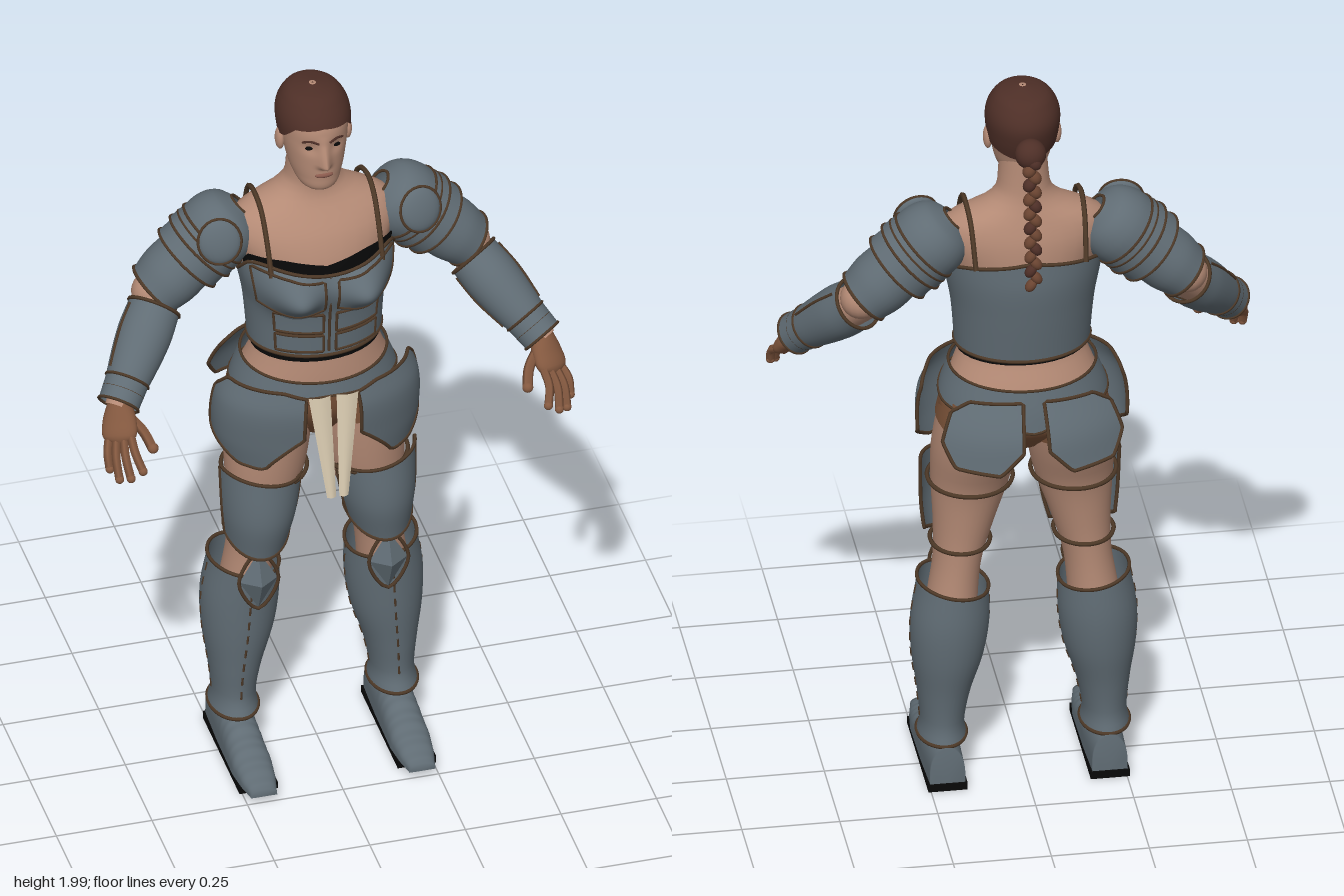
import * as THREE from 'three';

const mat = (name, color, side = THREE.FrontSide) => {
  const m = new THREE.MeshStandardMaterial({ color, side });
  m.name = name;
  return m;
};
const V = (x, y, z) => new THREE.Vector3(x, y, z);
const RAD = Math.PI / 180;
const fn = (f) => (typeof f === 'function' ? f : () => f);
const gauss = (d, s) => Math.exp(-(d * d) / (2 * s * s));

// Piecewise linear function through [x, y] pairs
const lerpPts = (...p) => (x) => {
  let i = 0;
  while (i < p.length - 2 && x > p[i + 1][0]) i++;
  const t = THREE.MathUtils.clamp((x - p[i][0]) / (p[i + 1][0] - p[i][0]), 0, 1);
  return p[i][1] + (p[i + 1][1] - p[i][1]) * t;
};

// Smooth body profile: rows [y, centreX, halfWidth, frontZ, backZ], y rising
function profile(rows) {
  const slope = (i, k) => {
    const a = rows[Math.max(0, i - 1)], b = rows[Math.min(rows.length - 1, i + 1)];
    return (b[k] - a[k]) / (b[0] - a[0]);
  };
  const at = (y, k) => {
    let i = 0;
    while (i < rows.length - 2 && y > rows[i + 1][0]) i++;
    const h = rows[i + 1][0] - rows[i][0], t = THREE.MathUtils.clamp((y - rows[i][0]) / h, 0, 1);
    const t2 = t * t, t3 = t2 * t;
    return rows[i][k] * (2 * t3 - 3 * t2 + 1) + slope(i, k) * h * (t3 - 2 * t2 + t)
      + rows[i + 1][k] * (3 * t2 - 2 * t3) + slope(i + 1, k) * h * (t3 - t2);
  };
  const point = (deg, y, off = 0) => {
    const a = deg * RAD, f = at(y, 3), b = at(y, 4);
    return V(at(y, 1) + (at(y, 2) + off) * Math.sin(a), y, (f + b) / 2 + ((f - b) / 2 + off) * Math.cos(a));
  };
  return { lo: rows[0][0], hi: rows[rows.length - 1][0], point };
}
// Round limb profile from [y, radius, depthRadius] rows
const round = (...r) => profile(r.map(([y, a, b = a]) => [y, 0, a, b, -b]));

// Parametric grid; wrap joins the ends in u
function grid(f, nu, nv, wrap = false) {
  const pos = [], idx = [], w = wrap ? nu : nu + 1;
  for (let j = 0; j <= nv; j++) for (let i = 0; i < w; i++) pos.push(...f(i / nu, j / nv).toArray());
  for (let j = 0; j < nv; j++) for (let i = 0; i < nu; i++) {
    const a = j * w + i, b = j * w + (i + 1) % w;
    idx.push(a, b, a + w, b, b + w, a + w);
  }
  const g = new THREE.BufferGeometry();
  g.setAttribute('position', new THREE.Float32BufferAttribute(pos, 3));
  g.setIndex(idx);
  g.computeVertexNormals();
  return g;
}

export function createModel() {
  const skin = mat('skin', 0xb48a75), glove = mat('brownHand', 0x83583f);
  const armour = mat('steel', 0x606c74, THREE.DoubleSide), leather = mat('leather', 0x4f3a28);
  const hair = mat('hair', 0x4e2f27, THREE.DoubleSide), braidMat = mat('braid', 0x6a4431);
  const brief = mat('briefs', 0x7a5238, THREE.DoubleSide), cloth = mat('cloth', 0xd6c8ae, THREE.DoubleSide);
  const black = mat('black', 0x080808, THREE.DoubleSide), lip = mat('lips', 0x8a5a4d);

  const model = new THREE.Group();
  model.name = 'armouredFighter';
  const add = (parent, name, geo, m) => {
    const mesh = new THREE.Mesh(geo, m);
    mesh.name = name;
    parent.add(mesh);
    return mesh;
  };
  const tube = (parent, name, pts, r, m, closed = false, n = 24) =>
    add(parent, name, new THREE.TubeGeometry(new THREE.CatmullRomCurve3(pts, closed), n, r, 5, closed), m);
  const ball = (parent, name, p, s, m) => {
    const mesh = add(parent, name, new THREE.SphereGeometry(1, 20, 14), m);
    mesh.position.set(...p);
    mesh.scale.set(...s);
    return mesh;
  };
  // Curved plate on a profile between two angles and two edge heights, with optional edge trim
  function plate(parent, name, prof, m, o = {}) {
    const { a = null, off = 0, bump = (p) => p, trim = 0, nu = 32, nv = 16 } = o;
    const lo = fn(o.lo ?? prof.lo), hi = fn(o.hi ?? prof.hi), [a0, a1] = a || [-180, 180];
    const at = (u, v, e = 0) => {
      const d = a0 + (a1 - a0) * u;
      return bump(prof.point(d, lo(d) + (hi(d) - lo(d)) * v, off + e));
    };
    add(parent, name, grid(at, nu, nv, !a), m);
    if (!trim) return;
    const edge = (f, n = 16) => Array.from({ length: n }, (_, i) => f(i / n));
    const loops = a
      ? [[...edge((t) => at(t, 0)), ...edge((t) => at(1, t)), ...edge((t) => at(1 - t, 1)), ...edge((t) => at(0, 1 - t))]]
      : [edge((t) => at(t, 0), 28), edge((t) => at(t, 1), 28)];
    loops.forEach((l) => tube(parent, name + 'Trim', l, trim, leather, true, 64));
  }
  // Group whose y axis runs from A towards B
  function axis(parent, name, A, B) {
    const g = new THREE.Group();
    g.name = name;
    g.position.copy(A);
    g.quaternion.setFromUnitVectors(V(0, 1, 0), B.clone().sub(A).normalize());
    parent.add(g);
    return g;
  }

  // Torso and neck
  const torso = profile([[0.96, 0, 0.05, 0.03, -0.09], [1.05, 0, 0.195, 0.09, -0.18], [1.12, 0, 0.205, 0.105, -0.18],
    [1.18, 0, 0.18, 0.105, -0.16], [1.25, 0, 0.157, 0.1, -0.135], [1.38, 0, 0.168, 0.1, -0.15], [1.5, 0, 0.19, 0.1, -0.16],
    [1.58, 0, 0.215, 0.075, -0.155], [1.635, 0, 0.19, 0.04, -0.14], [1.665, 0, 0.12, 0.02, -0.13],
    [1.7, 0, 0.075, 0.012, -0.12], [1.75, 0, 0.064, 0.018, -0.115], [1.83, 0, 0.06, 0.03, -0.11]]);
  plate(model, 'torso', torso, skin, { nv: 48 });
  plate(model, 'briefs', torso, brief, { hi: 1.13, off: 0.006 });

  // Head with a nose ridge and eye hollows
  const headP = profile([[1.722, 0, 0.02, 0.045, -0.01], [1.735, 0, 0.046, 0.068, -0.04], [1.77, 0, 0.065, 0.074, -0.09],
    [1.82, 0, 0.077, 0.076, -0.115], [1.87, 0, 0.085, 0.076, -0.135], [1.92, 0, 0.087, 0.07, -0.143],
    [1.96, 0, 0.073, 0.045, -0.125], [1.985, 0, 0.046, 0.012, -0.095], [1.994, 0, 0.002, -0.035, -0.04]]);
  const noseH = lerpPts([1.8, 0], [1.815, 0.028], [1.875, 0.004], [1.9, 0]);
  plate(model, 'head', headP, skin, { nu: 96, nv: 56, bump: (p) => {
    if (p.z > 0) p.z += noseH(p.y) * gauss(p.x, 0.01) - 0.007 * gauss(Math.abs(p.x) - 0.033, 0.014) * gauss(p.y - 1.863, 0.012);
    return p;
  } });
  const hairline = (d) => lerpPts([0, 1.925], [45, 1.915], [68, 1.88], [88, 1.865], [105, 1.84], [180, 1.815])(Math.abs(d));
  plate(model, 'hairCap', headP, hair, { lo: hairline, off: 0.007, nu: 64, nv: 24 });
  ball(model, 'mouth', [0, 1.782, 0.071], [0.024, 0.008, 0.008], lip);
  for (const s of [-1, 1]) {
    ball(model, 'eye', [s * 0.033, 1.863, 0.059], [0.013, 0.006, 0.006], black);
    ball(model, 'ear', [s * 0.088, 1.845, -0.03], [0.012, 0.032, 0.02], skin);
    tube(model, 'eyebrow', [V(s * 0.014, 1.882, 0.077), V(s * 0.034, 1.889, 0.07), V(s * 0.053, 1.882, 0.056)], 0.003, hair);
  }

  // Bun and plaited tail
  ball(model, 'hairBun', [0, 1.865, -0.165], [0.04, 0.04, 0.038], hair);
  for (let i = 0; i < 18; i++) {
    const t = i / 17, s = i % 2 ? 1 : -1;
    const knot = ball(model, 'braidKnot', [s * 0.007, 1.85 - 0.34 * t, -0.188 - 0.028 * t],
      [0.017 - 0.004 * t, 0.019, 0.018 - 0.003 * t], i % 3 ? braidMat : hair);
    knot.rotation.z = s * 0.6;
  }

  // Cuirass with shaped breast plates and belly panels
  const cuirass = profile([[1.25, 0, 0.172, 0.115, -0.165], [1.38, 0, 0.183, 0.122, -0.182],
    [1.47, 0, 0.2, 0.135, -0.19], [1.55, 0, 0.21, 0.115, -0.185]]);
  const breast = (p) => {
    if (p.z > 0) p.z += 0.07 * gauss(Math.abs(p.x) - 0.095, 0.045) * gauss(p.y - 1.462, 0.042);
    return p;
  };
  const neckline = (d) => lerpPts([0, 1.51], [30, 1.53], [60, 1.535], [90, 1.47], [120, 1.52], [180, 1.55])(Math.abs(d));
  plate(model, 'cuirass', cuirass, armour, { lo: 1.255, hi: neckline, bump: breast, trim: 0.005, nu: 96, nv: 32 });
  plate(model, 'undershirtHem', torso, black, { lo: 1.232, hi: 1.275, off: 0.006, nv: 2 });
  plate(model, 'undershirtNeck', torso, black, { a: [-75, 75], lo: 1.48, hi: (d) => neckline(d) + 0.012, off: 0.008, nv: 3 });
  tube(model, 'chestSeam', [1.27, 1.35, 1.43, 1.505].map((y) => cuirass.point(0, y, 0.002)), 0.004, leather);
  for (const s of [-1, 1]) {
    const arc = s > 0 ? [5, 45] : [-45, -5], rim = s > 0 ? [5, 62] : [-62, -5];
    plate(model, 'upperBellyPanel', cuirass, armour, { a: arc, lo: 1.335, hi: 1.392, off: 0.009, trim: 0.004, nv: 4 });
    plate(model, 'lowerBellyPanel', cuirass, armour, { a: arc, lo: 1.275, hi: 1.325, off: 0.009, trim: 0.004, nv: 4 });
    plate(model, 'breastPanel', cuirass, armour, { a: rim, lo: (d) => 1.405 + 0.0004 * Math.abs(Math.abs(d) - 30),
      hi: (d) => neckline(d) - 0.012, off: 0.005, bump: breast, trim: 0.004 });
  }

  // Belt and front cloth
  const beltP = profile([[1.07, 0, 0.225, 0.15, -0.225], [1.13, 0, 0.21, 0.15, -0.215], [1.188, 0, 0.187, 0.14, -0.2]]);
  plate(model, 'belt', beltP, armour, { trim: 0.004, nu: 64, nv: 6,
    lo: (d) => lerpPts([0, 1.15], [60, 1.135], [100, 1.11], [150, 1.105], [180, 1.075])(Math.abs(d)) });

  // Everything on the model's left, mirrored afterwards
  const left = new THREE.Group();
  left.name = 'leftSide';
  model.add(left);
  add(left, 'frontCloth', grid((u, v) => V(
    THREE.MathUtils.lerp(0.004 + 0.004 * v, 0.028 + 0.037 * v, u), 0.875 + 0.285 * v,
    0.2 - 0.04 * v + 0.006 * Math.sin(u * Math.PI)), 6, 6), cloth);
  tube(left, 'shoulderStrap', [V(0.145, 1.51, 0.1), V(0.146, 1.59, 0.062), V(0.147, 1.655, 0.01), V(0.148, 1.672, -0.05),
    V(0.145, 1.645, -0.12), V(0.14, 1.54, -0.175)], 0.007, leather);
  const hipP = profile([[0.92, 0, 0.25, 0.15, -0.18], [1, 0, 0.268, 0.158, -0.19], [1.1, 0, 0.264, 0.165, -0.18], [1.17, 0, 0.235, 0.15, -0.17]]);
  plate(left, 'hipPlate', hipP, armour, { a: [16, 96], lo: lerpPts([16, 1.03], [42, 0.925], [62, 0.93], [96, 1.0]),
    hi: lerpPts([16, 1.15], [30, 1.165], [80, 1.165], [96, 1.12]), trim: 0.005 });
  const rearP = profile([[0.99, 0, 0.33, 0.2, -0.285], [1.08, 0, 0.3, 0.19, -0.265], [1.17, 0, 0.25, 0.17, -0.215]]);
  plate(left, 'rearPlate', rearP, armour, { a: [132, 174], lo: lerpPts([132, 1.06], [142, 1.0], [164, 0.99], [174, 1.05]),
    hi: lerpPts([132, 1.13], [142, 1.16], [174, 1.165]), trim: 0.005 });

  // Leg
  const legP = profile([[0.1, 0.205, 0.04, 0, -0.09], [0.4, 0.19, 0.07, 0.03, -0.12], [0.52, 0.178, 0.064, 0.045, -0.105],
    [0.62, 0.165, 0.062, 0.05, -0.1], [0.72, 0.15, 0.076, 0.065, -0.105], [0.85, 0.132, 0.1, 0.085, -0.125],
    [0.95, 0.122, 0.11, 0.095, -0.165], [1.04, 0.112, 0.107, 0.098, -0.192], [1.12, 0.1, 0.1, 0.09, -0.18]]);
  plate(left, 'leg', legP, skin, { nv: 40 });
  plate(left, 'briefSide', legP, brief, { off: 0.005, lo: (d) => 1.02 + 0.025 * Math.sin(d * RAD), hi: 1.12 });
  const thighP = profile([[0.64, 0.163, 0.075, 0.1, -0.1], [0.75, 0.155, 0.096, 0.12, -0.11], [0.89, 0.147, 0.108, 0.108, -0.12]]);
  plate(left, 'thighPlate', thighP, armour, { a: [-80, 84], lo: (d) => 0.64 + 0.045 * (d / 84) ** 2,
    hi: (d) => 0.87 + 0.018 * Math.sin(d * RAD), trim: 0.005 });
  for (const y of [0.67, 0.85]) {
    const loop = Array.from({ length: 24 }, (_, i) => legP.point(i * 15, y, 0.008));
    tube(left, 'thighStrap', loop, 0.006, leather, true, 48);
  }
  const knee = add(left, 'kneePlate', new THREE.OctahedronGeometry(1), armour);
  knee.position.set(0.17, 0.555, 0.065);
  knee.scale.set(0.05, 0.085, 0.036);
  tube(left, 'kneeTrim', [V(0.17, 0.642, 0.067), V(0.222, 0.555, 0.067), V(0.17, 0.468, 0.067), V(0.118, 0.555, 0.067)], 0.005, leather, true);
  const greaveP = profile([[0.12, 0.208, 0.062, 0.05, -0.13], [0.16, 0.207, 0.056, 0.035, -0.12], [0.25, 0.203, 0.068, 0.04, -0.128],
    [0.36, 0.194, 0.092, 0.05, -0.148], [0.46, 0.188, 0.1, 0.055, -0.155], [0.57, 0.18, 0.09, 0.06, -0.148]]);
  plate(left, 'greave', greaveP, armour, { hi: (d) => 0.56 + 0.015 * Math.sin(d * RAD), trim: 0.005, nv: 24 });
  for (const d of [0, 90, -90]) for (let y = 0.17; y < 0.53; y += 0.045) {
    tube(left, 'greaveStitch', [greaveP.point(d, y), greaveP.point(d, y + 0.025)], 0.003, leather, false, 2);
  }

  // Layered foot armour over a flat sole
  const footH = lerpPts([-0.14, 0.1], [0, 0.1], [0.1, 0.065], [0.2, 0.035], [0.25, 0.02]);
  const footW = lerpPts([-0.14, 0.045], [-0.02, 0.05], [0.14, 0.052], [0.2, 0.045], [0.25, 0.034]);
  add(left, 'footArmour', grid((u, v) => {
    const t = THREE.MathUtils.clamp((v * 44 - 1) / 42, 0, 1), z = -0.14 + 0.393 * t, a = Math.PI * u;
    const end = v === 0 || v === 1 ? 0.01 : 1, lame = z > 0 ? 1.1 - 0.12 * ((t * 12) % 1) : 1;
    return V(0.207 + footW(z) * Math.cos(a) * end, 0.02 + footH(z) * lame * Math.sin(a) ** 0.6 * end, z);
  }, 20, 44), armour);
  add(left, 'sole', new THREE.BoxGeometry(0.1, 0.02, 0.345), black).position.set(0.207, 0.01, 0.0275);

  // Upper arm, shoulder lames and cuff
  const S = V(0.235, 1.58, -0.06), E = V(0.415, 1.415, -0.055), F = V(0.405, 1.4, -0.04), W = V(0.555, 1.215, 0.13);
  const upper = axis(left, 'upperArm', S, E);
  plate(upper, 'upperArmSkin', round([-0.05, 0.05], [0.08, 0.068], [0.25, 0.052]), skin);
  plate(upper, 'shoulderCap', round([-0.075, 0.035], [-0.055, 0.075], [-0.01, 0.098], [0.05, 0.1]), armour, { trim: 0.004 });
  plate(upper, 'shoulderLame', round([0.03, 0.101], [0.075, 0.104]), armour, { trim: 0.004, nv: 4 });
  plate(upper, 'lowerShoulderLame', round([0.065, 0.097], [0.12, 0.099]), armour, { trim: 0.004, nv: 4 });
  plate(upper, 'armCuff', round([0.115, 0.08, 0.086], [0.18, 0.082, 0.088], [0.235, 0.072, 0.08]), armour, { trim: 0.005 });
  const shield = ball(left, 'shoulderGuard', [0.262, 1.598, 0.03], [0.055, 0.06, 0.02], armour);
  shield.rotation.set(-0.3, 0.15, 0);
  tube(left, 'shoulderGuardTrim', Array.from({ length: 16 }, (_, i) => V(0.055 * Math.cos(i * Math.PI / 8),
    0.06 * Math.sin(i * Math.PI / 8), 0.004).applyEuler(shield.rotation).add(shield.position)), 0.004, leather, true);
  ball(left, 'elbow', E.toArray(), [0.053, 0.053, 0.053], skin);

  // Forearm and hand
  const fore = axis(left, 'forearm', F, W);
  plate(fore, 'forearmSkin', round([-0.03, 0.05], [0.1, 0.052], [0.3, 0.032]), skin);
  plate(fore, 'bracer', round([0.025, 0.067], [0.1, 0.07], [0.2, 0.06], [0.255, 0.05]), armour, { trim: 0.005 });
  plate(fore, 'wristCuff', round([0.225, 0.056], [0.29, 0.053]), armour, { trim: 0.004, nv: 4 });
  for (const x of [-1, 1]) tube(fore, 'bracerSeam', [V(0, 0.04, x * 0.069), V(0, 0.12, x * 0.07), V(0, 0.21, x * 0.059)], 0.004, leather);
  const hand = axis(left, 'hand', V(0.55, 1.222, 0.125), V(0.572, 1.13, 0.205));
  plate(hand, 'palm', round([0, 0.03, 0.032], [0.05, 0.044, 0.026], [0.095, 0.04, 0.02], [0.11, 0.005]), glove);
  [[0.53, 1.105, 0.275], [0.56, 1.085, 0.27], [0.585, 1.075, 0.252], [0.602, 1.09, 0.222]].forEach((tip, i) => {
    const root = V(0.54 + i * 0.017, 1.16 - i * 0.004, 0.2 - i * 0.009);
    const T = V(...tip), mid = root.clone().lerp(T, 0.5).add(V(0.006, 0.008, 0.006));
    tube(left, 'finger', [root, mid, T], 0.0115, glove, false, 10);
    ball(left, 'fingertip', tip, [0.0115, 0.0115, 0.0115], glove);
  });
  tube(left, 'thumb', [V(0.54, 1.2, 0.15), V(0.505, 1.165, 0.185), V(0.49, 1.135, 0.225)], 0.014, glove, false, 10);
  ball(left, 'thumbTip', [0.49, 1.135, 0.225], [0.014, 0.014, 0.014], glove);

  // Mirrored right side with reversed winding
  const right = new THREE.Group();
  right.name = 'rightSide';
  left.updateMatrixWorld(true);
  left.traverse((o) => {
    if (!o.isMesh) return;
    const g = o.geometry.clone().applyMatrix4(o.matrixWorld).scale(-1, 1, 1);
    const src = g.index ? Array.from(g.index.array) : Array.from({ length: g.attributes.position.count }, (_, i) => i);
    for (let i = 0; i < src.length; i += 3) [src[i], src[i + 1]] = [src[i + 1], src[i]];
    g.setIndex(src);
    add(right, o.name, g, o.material);
  });
  model.add(right);
  return model;
}
